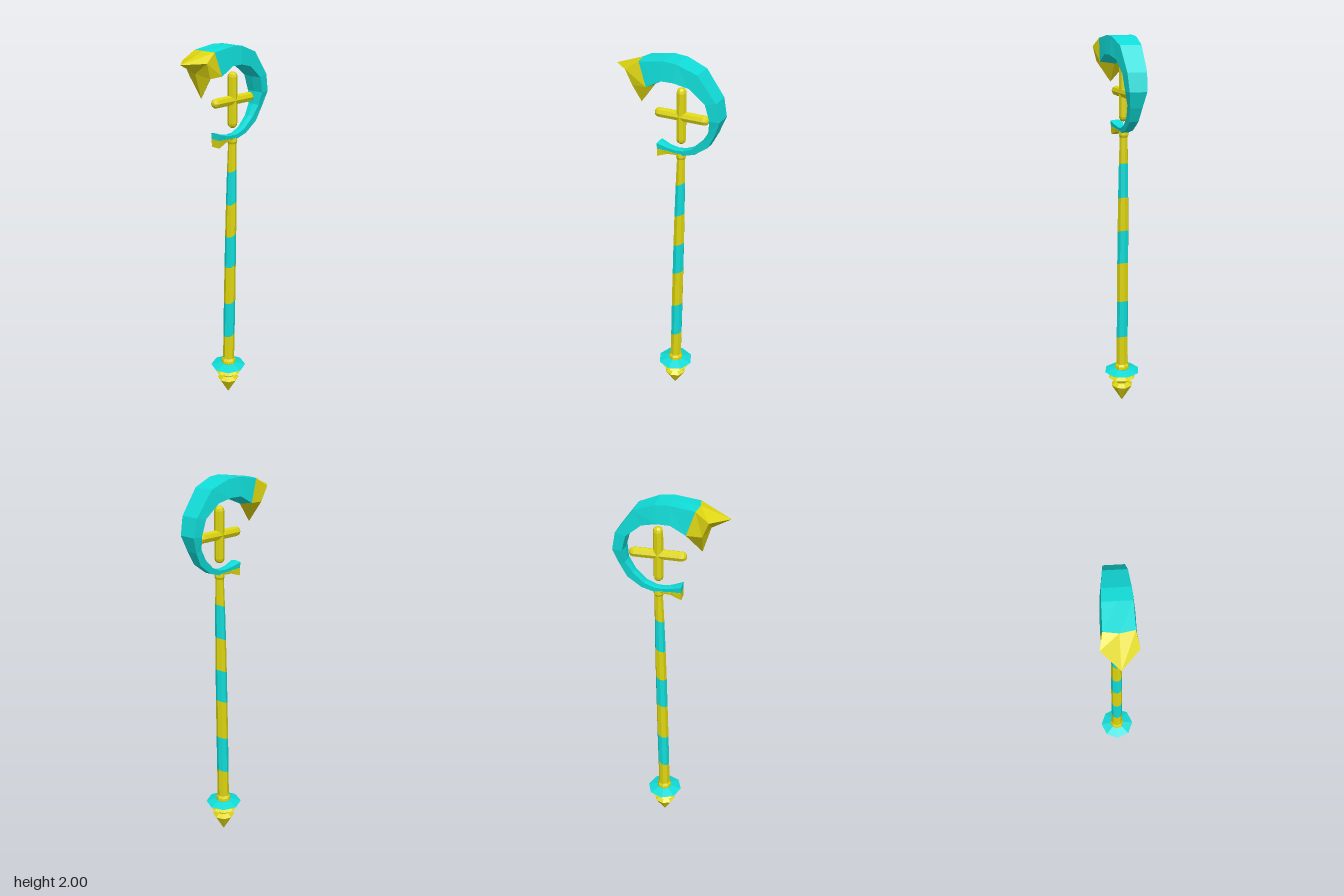
import * as THREE from 'three';

const gold = new THREE.MeshStandardMaterial({ color: 0xddd510, flatShading: true });
const cyan = new THREE.MeshStandardMaterial({ color: 0x10dcd8, flatShading: true });

// Skin a list of cross-sections (arrays of [x, y, z]) and close both ends
function loft(sections) {
  const pos = [];
  const n = sections[0].length;
  const tri = (a, b, c) => pos.push(...a, ...b, ...c);
  for (let i = 0; i < sections.length - 1; i++) {
    const p = sections[i], q = sections[i + 1];
    for (let j = 0; j < n; j++) {
      const k = (j + 1) % n;
      tri(p[j], p[k], q[k]);
      tri(p[j], q[k], q[j]);
    }
  }
  const centre = s => [0, 1, 2].map(a => s.reduce((t, p) => t + p[a], 0) / n);
  const first = sections[0], last = sections[sections.length - 1];
  for (let j = 0; j < n; j++) {
    const k = (j + 1) % n;
    tri(centre(first), first[k], first[j]);
    tri(centre(last), last[j], last[k]);
  }
  const g = new THREE.BufferGeometry();
  g.setAttribute('position', new THREE.Float32BufferAttribute(pos, 3));
  g.computeVertexNormals();
  return g;
}

// Six-sided crook section: outer edge point, inner edge point, half width
function crookSection([ox, oy, ix, iy, w]) {
  const mx = ix + (ix - ox) * 0.1, my = iy + (iy - oy) * 0.1;
  return [
    [ox, oy, 0], [ox, oy, -w * 0.88], [ix, iy, -w],
    [mx, my, 0], [ix, iy, w], [ox, oy, w * 0.88],
  ];
}

// Octagonal shaft section, tilted along x by slope
function shaftSection(y, r, slope) {
  const cx = 0.042 + 0.022 * (y - 0.2) / 1.32;
  return Array.from({ length: 8 }, (_, j) => {
    const a = j * Math.PI / 4;
    const dx = r * Math.cos(a);
    return [cx + dx, y + slope * dx, -r * Math.sin(a)];
  });
}

export function createModel() {
  const group = new THREE.Group();
  const add = (name, geometry, material, x = 0, y = 0, z = 0) => {
    const m = new THREE.Mesh(geometry, material);
    m.name = name;
    m.position.set(x, y, z);
    group.add(m);
    return m;
  };
  const lathe = pts => new THREE.LatheGeometry(pts.map(p => new THREE.Vector2(...p)), 8);

  // Pointed foot with stacked rings
  add('footFinial', lathe([
    [0, 0], [0.06, 0.1], [0.035, 0.118], [0.04, 0.128], [0.076, 0.15], [0.045, 0.172], [0, 0.175],
  ]), gold, 0.04);
  add('footDisc', lathe([[0.04, 0.168], [0.098, 0.186], [0.035, 0.204], [0, 0.204]]), cyan, 0.04);
  add('footCollar', lathe([[0.034, 0.195], [0.041, 0.205], [0.04, 0.22], [0.031, 0.235]]), gold, 0.042);

  // Shaft of alternating slanted bands
  const rings = [
    [0.2, 0.032, 0], [0.39, 0.032, 0.4], [0.6, 0.032, 0.4], [0.82, 0.031, 0.4],
    [1.0, 0.03, 0.4], [1.18, 0.028, 0.4], [1.36, 0.025, 0.4], [1.505, 0.021, 0],
  ].map(r => shaftSection(...r));
  for (let i = 0; i < rings.length - 1; i++) {
    add('shaftBand' + (i + 1), loft([rings[i], rings[i + 1]]), i % 2 ? cyan : gold);
  }
  add('shaftCap', loft([shaftSection(1.5, 0.021, 0), shaftSection(1.512, 0.026, 0), shaftSection(1.53, 0.024, 0)]), gold);

  // Flared tail of the crook, gold below and cyan above
  add('tailLower', loft([
    [-0.055, 1.5, -0.055, 1.54, 0.03],
    [0.0, 1.519, 0.0, 1.535, 0.022],
    [0.055, 1.522, 0.055, 1.53, 0.02],
  ].map(crookSection)), gold);
  add('tailUpper', loft([
    [-0.055, 1.538, -0.055, 1.571, 0.032],
    [0.0, 1.534, 0.0, 1.553, 0.023],
    [0.055, 1.526, 0.055, 1.546, 0.02],
  ].map(crookSection)), cyan);

  // Crook growing wider towards the head
  const crook = [
    [0.05, 1.524, 0.05, 1.548, 0.02],
    [0.08, 1.525, 0.08, 1.55, 0.021],
    [0.145, 1.545, 0.13, 1.57, 0.023],
    [0.215, 1.597, 0.185, 1.622, 0.027],
    [0.25, 1.666, 0.22, 1.68, 0.035],
    [0.279, 1.745, 0.23, 1.745, 0.05],
    [0.26, 1.835, 0.208, 1.825, 0.056],
    [0.167, 1.957, 0.128, 1.89, 0.062],
    [0.065, 1.995, 0.055, 1.908, 0.072],
    [0, 2.0, -0.01, 1.908, 0.075],
    [-0.125, 1.983, -0.085, 1.868, 0.077],
  ].map(crookSection);
  const neck = crook[crook.length - 1];
  neck[0] = [-0.137, 1.985, 0];
  add('crook', loft(crook), cyan);

  // Arrow-like head with an upper and a lower point
  add('crookHead', loft([neck, [
    [-0.28, 1.935, 0], [-0.19, 1.94, -0.083], [-0.16, 1.865, -0.072],
    [-0.15, 1.76, 0], [-0.16, 1.865, 0.072], [-0.19, 1.94, 0.083],
  ]]), gold);

  // Rounded cross floating inside the crook
  const bar = new THREE.CapsuleGeometry(0.025, 0.235, 3, 8);
  add('crossUpright', bar, gold, 0.064, 1.723);
  add('crossArm', bar, gold, 0.066, 1.723).rotation.z = Math.PI / 2;

  return group;
}
